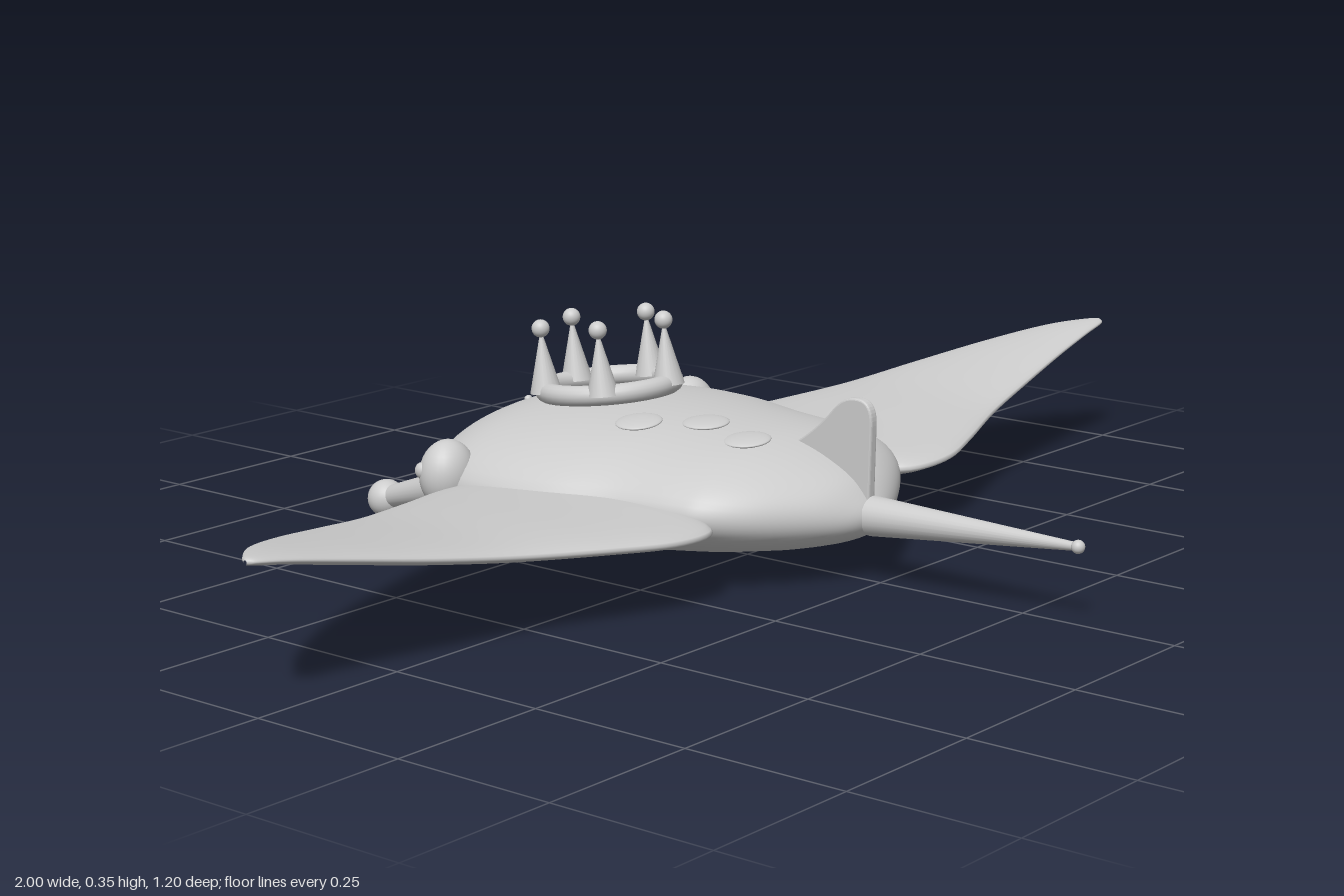
import * as THREE from 'three';

// Smooth skin through closed rings of points (rings counter-clockwise seen from the far end)
function loft(rings) {
  const n = rings[0].length, pos = [], idx = [];
  rings.forEach(r => r.forEach(p => pos.push(...p)));
  for (let i = 0; i < rings.length - 1; i++) {
    for (let j = 0; j < n; j++) {
      const a = i * n + j, b = i * n + (j + 1) % n, c = a + n, d = b + n;
      idx.push(a, b, c, b, d, c);
    }
  }
  const g = new THREE.BufferGeometry();
  g.setAttribute('position', new THREE.Float32BufferAttribute(pos, 3));
  g.setIndex(idx);
  g.computeVertexNormals();
  return g;
}

// Smoothly resample rows of four numbers
function resample(rows, count) {
  const make = (a, b) => new THREE.CatmullRomCurve3(
    rows.map(r => new THREE.Vector3(r[a], r[b], 0)), false, 'catmullrom', 0.5);
  const p = make(0, 1), q = make(2, 3), out = [];
  for (let i = 0; i <= count; i++) {
    const u = p.getPoint(i / count), v = q.getPoint(i / count);
    out.push([u.x, u.y, v.x, v.y]);
  }
  return out;
}

// z, half width, top y, bottom y
const bodyRows = resample([
  [-0.495, 0, 0.10, 0.10], [-0.485, 0.10, 0.135, 0.07], [-0.46, 0.18, 0.165, 0.045],
  [-0.42, 0.245, 0.19, 0.022], [-0.35, 0.295, 0.208, 0.006], [-0.25, 0.312, 0.216, 0.001],
  [-0.15, 0.30, 0.216, 0.007], [-0.05, 0.265, 0.212, 0.015], [0.05, 0.248, 0.205, 0.028],
  [0.10, 0.232, 0.196, 0.037], [0.15, 0.185, 0.18, 0.045], [0.20, 0.11, 0.155, 0.058],
  [0.23, 0.05, 0.125, 0.075], [0.245, 0, 0.10, 0.10]], 78);

// Height of the back at a point
function backY(x, z) {
  const i = Math.max(1, bodyRows.findIndex(r => r[0] >= z));
  const a = bodyRows[i - 1], b = bodyRows[i], t = (z - a[0]) / (b[0] - a[0]);
  const [w, top, bot] = [1, 2, 3].map(k => a[k] + (b[k] - a[k]) * t);
  return (top + bot) / 2 + (top - bot) / 2 * Math.sqrt(Math.max(0, 1 - (x / w) ** 2));
}

// x, leading z, trailing z, centre y
const wingRows = resample([
  [0.20, -0.27, 0.07, 0.105], [0.245, -0.32, 0.132, 0.107], [0.33, -0.325, 0.142, 0.111],
  [0.43, -0.295, 0.112, 0.118], [0.57, -0.25, 0.062, 0.13], [0.70, -0.205, 0.035, 0.15],
  [0.83, -0.145, 0.016, 0.175], [0.93, -0.085, 0.006, 0.195], [0.985, -0.035, 0, 0.204],
  [1.0, -0.016, -0.01, 0.205]], 48);

export function createModel() {
  const model = new THREE.Group();
  const skin = new THREE.MeshStandardMaterial({ color: 0xcccccc });
  skin.name = 'pale grey';
  const add = (name, geo, p = [0, 0, 0], s = [1, 1, 1], parent = model) => {
    const m = new THREE.Mesh(geo, skin);
    m.name = name;
    m.position.set(...p);
    m.scale.set(...s);
    parent.add(m);
    return m;
  };
  const ball = new THREE.SphereGeometry(1, 28, 18);
  // Tapered rod between two points
  const rod = (name, a, b, ra, rb) => {
    const A = new THREE.Vector3(...a), d = new THREE.Vector3(...b).sub(A);
    const m = add(name, new THREE.CylinderGeometry(rb, ra, d.length(), 24),
      A.clone().addScaledVector(d, 0.5).toArray());
    m.quaternion.setFromUnitVectors(new THREE.Vector3(0, 1, 0), d.normalize());
  };

  // Body
  add('body', loft(bodyRows.map(([z, w, top, bot]) => Array.from({ length: 56 }, (_, j) => {
    const a = j / 56 * Math.PI * 2;
    return [w * Math.cos(a), (top + bot) / 2 + (top - bot) / 2 * Math.sin(a), z];
  }))));

  for (const side of [1, -1]) {
    const label = side > 0 ? 'left' : 'right';
    // Wings, with a lens-like section that thins toward the tip
    add(label + 'Wing', loft(wingRows.map(([x, z0, z1, y]) => Array.from({ length: 36 }, (_, j) => {
      const a = side * j / 36 * Math.PI * 2;
      const thick = 0.003 + 0.023 * Math.sqrt(Math.max(0, 1 - x)) * 1.15;
      return [side * x, y + thick * Math.cos(a), (z0 + z1) / 2 + (z1 - z0) / 2 * Math.sin(a)];
    }))));
    // Head horns
    rod(label + 'Horn', [side * 0.228, 0.092, -0.39], [side * 0.195, 0.038, -0.57], 0.028, 0.017);
    add(label + 'HornTip', ball, [side * 0.195, 0.036, -0.573], [0.03, 0.03, 0.03]);
    // Eyes
    add(label + 'Eye', ball, [side * 0.285, 0.127, -0.35], [0.046, 0.054, 0.041]);
    add(label + 'Pupil', ball, [side * 0.318, 0.136, -0.37], [0.011, 0.013, 0.013]);
    // Mouth corners
    add(label + 'MouthCorner', ball, [side * 0.215, 0.048, -0.40], [0.014, 0.011, 0.026]);
  }

  // Lip around the front of the mouth
  const lip = new THREE.CatmullRomCurve3([[-0.215, -0.40], [-0.20, -0.455], [-0.11, -0.495],
    [0, -0.507], [0.11, -0.495], [0.20, -0.455], [0.215, -0.40]]
    .map(([x, z]) => new THREE.Vector3(x, 0.052, z)));
  add('lip', new THREE.TubeGeometry(lip, 48, 0.011, 12));

  // Tail
  rod('tail', [0, 0.10, 0.235], [0, 0.114, 0.59], 0.03, 0.006);
  add('tailTip', ball, [0, 0.114, 0.59], [0.01, 0.01, 0.01]);

  // Upright fin near the tail
  const fin = new THREE.Shape();
  fin.moveTo(-0.09, 0.185);
  fin.quadraticCurveTo(-0.135, 0.213, -0.165, 0.247);
  fin.quadraticCurveTo(-0.185, 0.272, -0.21, 0.27);
  fin.quadraticCurveTo(-0.234, 0.27, -0.233, 0.235);
  fin.lineTo(-0.23, 0.12);
  fin.lineTo(-0.09, 0.17);
  const finGeo = new THREE.ExtrudeGeometry(fin, { depth: 0.008, curveSegments: 10,
    bevelThickness: 0.004, bevelSize: 0.003, bevelSegments: 3 });
  add('tailFin', finGeo.translate(0, 0, -0.004).rotateY(Math.PI / 2));

  // Spots on the back
  for (const [x, z] of [[-0.105, -0.125], [-0.05, -0.04], [-0.07, 0.055]]) {
    const m = add('backSpot', ball, [x, backY(x, z), z], [0.036, 0.006, 0.036]);
    m.rotation.z = Math.atan2(backY(x + 0.02, z) - backY(x - 0.02, z), 0.04);
  }

  // Freckles on the forehead
  for (const [x, z] of [[-0.045, -0.405], [-0.028, -0.42], [-0.01, -0.405], [0.002, -0.422],
    [0.02, -0.408], [0.032, -0.42]]) {
    add('freckle', ball, [x, backY(x, z), z], [0.006, 0.005, 0.006]);
  }

  // Crown, tipped slightly forward
  const crown = new THREE.Group();
  crown.name = 'crown';
  crown.position.set(0, 0.226, -0.275);
  crown.rotation.x = -0.1;
  model.add(crown);
  add('crownRing', new THREE.TorusGeometry(0.1, 0.016, 16, 48).rotateX(Math.PI / 2), [0, 0, 0], [1, 1, 1], crown);
  for (let i = 0; i < 5; i++) {
    const a = i / 5 * Math.PI * 2, x = 0.1 * Math.cos(a), z = 0.1 * Math.sin(a);
    add('crownPoint', new THREE.ConeGeometry(0.025, 0.1, 20), [x, 0.05, z], [1, 1, 1], crown);
    add('crownBead', ball, [x, 0.1, z], [0.014, 0.014, 0.014], crown);
  }
  return model;
}
